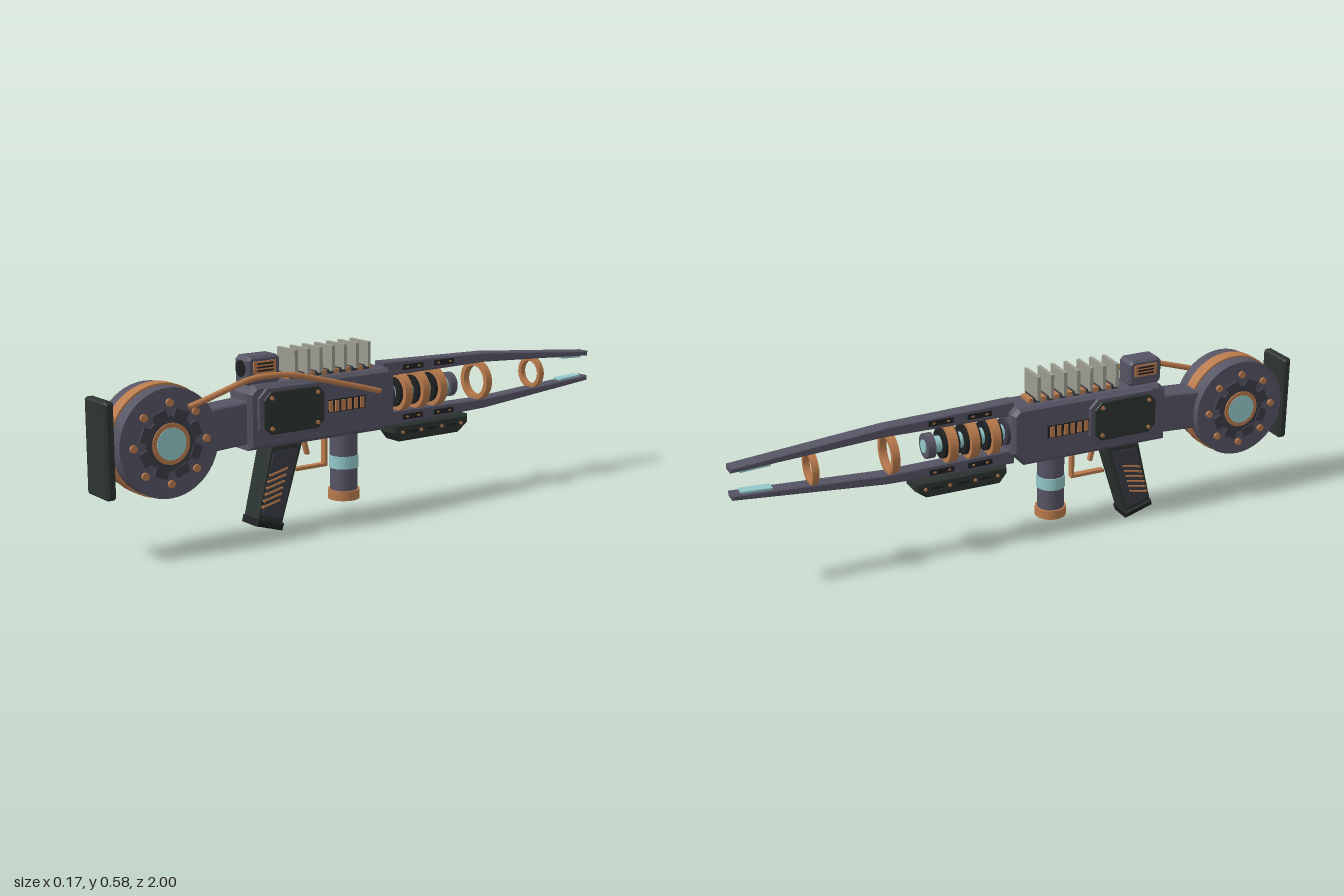
import * as THREE from 'three';

const mat = (name, color) => new THREE.MeshStandardMaterial({ name, color });
const HALF = Math.PI / 2;

export function createModel() {
  const root = new THREE.Group();
  root.name = 'coilRifle';
  const metal = mat('gunmetal', 0x565464);
  const darkMetal = mat('dark gunmetal', 0x3c3b47);
  const dark = mat('dark green', 0x2b3431);
  const black = mat('black', 0x1d2022);
  const copper = mat('copper', 0xb97a4c);
  const cyan = mat('cyan', 0x93c8ca);
  const pale = mat('pale grey', 0x9c9b90);

  const add = (name, geo, m, x = 0, y = 0, z = 0) => {
    const mesh = new THREE.Mesh(geo, m);
    mesh.name = name;
    mesh.position.set(x, y, z);
    root.add(mesh);
    return mesh;
  };
  const box = (name, m, w, h, d, x, y, z) => add(name, new THREE.BoxGeometry(w, h, d), m, x, y, z);
  // side outline of [z, y] points, extruded across x with bevelled edges
  const slab = (name, m, pts, width, bevel = 0.006, x = 0) => {
    const shape = new THREE.Shape(pts.map(p => new THREE.Vector2(...p)));
    const g = new THREE.ExtrudeGeometry(shape, {
      depth: width - 2 * bevel, bevelEnabled: bevel > 0, bevelSize: bevel,
      bevelThickness: bevel, bevelOffset: -bevel, bevelSegments: 1,
    });
    g.translate(0, 0, -(width - 2 * bevel) / 2).rotateY(-HALF);
    return add(name, g, m, x);
  };
  const rect = (z0, z1, y0, y1, c = 0) => c
    ? [[z0 + c, y0], [z1 - c, y0], [z1, y0 + c], [z1, y1 - c], [z1 - c, y1], [z0 + c, y1], [z0, y1 - c], [z0, y0 + c]]
    : [[z0, y0], [z1, y0], [z1, y1], [z0, y1]];
  // cylinders along each axis
  const cylX = (name, m, r, w, x, y, z, n = 32) =>
    add(name, new THREE.CylinderGeometry(r, r, w, n).rotateZ(HALF), m, x, y, z);
  const cylY = (name, m, r, y0, y1, z) =>
    add(name, new THREE.CylinderGeometry(r, r, y1 - y0, 32), m, 0, (y0 + y1) / 2, z);
  const cylZ = (name, m, r, z0, z1, y = 0.395) =>
    add(name, new THREE.CylinderGeometry(r, r, z1 - z0, 32).rotateX(HALF), m, 0, y, (z0 + z1) / 2);
  // flat hollow ring around the z axis
  const hoop = (name, m, r, inner, t, z, y = 0.395) => {
    const s = new THREE.Shape().absarc(0, 0, r, 0, Math.PI * 2);
    s.holes.push(new THREE.Path().absarc(0, 0, inner, 0, Math.PI * 2, true));
    const g = new THREE.ExtrudeGeometry(s, { depth: t, bevelEnabled: false, curveSegments: 24 });
    return add(name, g, m, 0, y, z - t / 2);
  };
  const tube = (name, pts, r, m, tension = 0.2) => add(name, new THREE.TubeGeometry(
    new THREE.CatmullRomCurve3(pts.map(p => new THREE.Vector3(...p)), false, 'catmullrom', tension), 48, r, 10), m);

  // butt pad and drum stock
  slab('buttPad', dark, rect(0.968, 1, 0.203, 0.5, 0.006), 0.13, 0.008);
  const DY = 0.353, DZ = 0.79;
  cylX('drum', metal, 0.17, 0.144, 0, DY, DZ, 48);
  cylX('drumBand', copper, 0.176, 0.046, 0, DY, DZ, 48);
  box('buttMount', metal, 0.06, 0.1, 0.04, 0, DY, 0.955);
  for (const s of [-1, 1]) {
    cylX('drumHub', darkMetal, 0.085, 0.008, s * 0.074, DY, DZ);
    cylX('drumHubRing', copper, 0.064, 0.014, s * 0.075, DY, DZ);
    cylX('drumCore', cyan, 0.05, 0.018, s * 0.075, DY, DZ);
    for (let i = 0; i < 8; i++) {
      const a = i * Math.PI / 4, b = a + Math.PI / 8;
      cylX('drumBolt', copper, 0.012, 0.016, s * 0.073, DY + 0.125 * Math.sin(a), DZ + 0.125 * Math.cos(a), 10);
      const block = box('drumBlock', darkMetal, 0.022, 0.046, 0.03, s * 0.072,
        DY + 0.092 * Math.sin(b), DZ + 0.092 * Math.cos(b));
      block.rotation.x = -b;
    }
  }

  // receiver
  slab('stockNeck', metal, [[0.48, 0.305], [0.66, 0.295], [0.66, 0.43], [0.48, 0.442]], 0.092);
  slab('receiver', metal, [[-0.03, 0.285], [0.5, 0.285], [0.5, 0.465], [0.475, 0.49],
    [-0.05, 0.49], [-0.072, 0.468], [-0.072, 0.33]], 0.122, 0.012);
  for (const s of [-1, 1]) {
    slab('plateFrame', metal, rect(0.205, 0.47, 0.318, 0.48, 0.03), 0.012, 0.003, s * 0.063);
    slab('sidePlate', dark, rect(0.222, 0.453, 0.33, 0.468, 0.025), 0.012, 0.003, s * 0.068);
    for (const z of [0.25, 0.425]) for (const y of [0.35, 0.448])
      cylX('plateBolt', copper, 0.007, 0.008, s * 0.075, y, z, 8);
    box('ventRecess', black, 0.006, 0.042, 0.155, s * 0.061, 0.392, 0.13);
    for (let i = 0; i < 6; i++)
      box('vent', copper, 0.012, 0.036, 0.015, s * 0.062, 0.392, 0.068 + i * 0.025);
  }

  // heat sink
  box('finRail', copper, 0.056, 0.02, 0.33, 0, 0.495, 0.165);
  for (let i = 0; i < 7; i++) {
    const z = 0.027 + i * 0.048;
    box('fin', pale, 0.1, 0.082, 0.012, 0, 0.544, z);
    box('finFoot', darkMetal, 0.07, 0.016, 0.022, 0, 0.5, z);
  }

  // sight
  slab('sight', metal, rect(0.368, 0.49, 0.485, 0.578, 0.012), 0.076, 0.008);
  cylZ('sightLens', black, 0.026, 0.47, 0.494, 0.538);
  for (const s of [-1, 1]) {
    box('sightPanel', copper, 0.008, 0.04, 0.082, s * 0.039, 0.542, 0.428);
    for (const y of [0.532, 0.543, 0.554]) box('sightSlot', black, 0.008, 0.005, 0.06, s * 0.041, y, 0.428);
  }

  // cable on the left side
  tube('cable', [[0.07, 0.455, 0.725], [0.077, 0.468, 0.68], [0.08, 0.515, 0.52], [0.08, 0.521, 0.44], [0.077, 0.512, 0.34],
    [0.07, 0.455, 0.12], [0.064, 0.42, -0.005]], 0.0095, copper, 0.4);

  // grip with ridges
  slab('grip', dark, [[0.28, 0.29], [0.37, 0.005], [0.47, 0.037], [0.41, 0.29]], 0.078, 0.008);
  slab('gripFoot', black, [[0.368, 0.003], [0.472, 0.035], [0.465, 0.058], [0.36, 0.026]], 0.088, 0.006);
  for (const s of [-1, 1]) {
    slab('gripPanel', darkMetal, [[0.306, 0.265], [0.372, 0.045], [0.445, 0.068], [0.4, 0.265]], 0.008, 0, s * 0.039);
    for (let i = 0; i < 6; i++) {
      const ridge = box('gripRidge', copper, 0.012, 0.006, 0.07, s * 0.041, 0.1 + i * 0.02, 0.413 - i * 0.006);
      ridge.rotation.x = 0.22;
    }
  }

  // trigger and guard
  box('guardFront', copper, 0.022, 0.105, 0.01, 0, 0.235, 0.174);
  box('guardBottom', copper, 0.022, 0.01, 0.125, 0, 0.187, 0.231);
  const trigger = box('trigger', copper, 0.016, 0.06, 0.012, 0, 0.26, 0.25);
  trigger.rotation.x = 0.25;

  // power cell under the receiver
  cylY('cellBody', metal, 0.046, 0.08, 0.29, 0.095);
  cylY('cellBand', cyan, 0.049, 0.168, 0.21, 0.095);
  cylY('cellCap', copper, 0.053, 0.062, 0.094, 0.095);

  // tapering rails, mirrored about the bore
  const railPts = [[-0.05, 0.455], [-0.05, 0.505], [-0.5, 0.493], [-1, 0.449], [-1, 0.432], [-0.5, 0.46]];
  for (const s of [1, -1]) {
    const flip = y => 0.395 + s * (y - 0.395);
    const pts = railPts.map(([z, y]) => [z, flip(y)]);
    slab(s > 0 ? 'upperRail' : 'lowerRail', metal, s > 0 ? pts : pts.reverse(), 0.05, 0.004);
    const pad = box('emitterPad', cyan, 0.036, 0.009, 0.1, 0, flip(0.434), -0.92);
    pad.rotation.x = -s * 0.055;
    for (const x of [-0.026, 0.026]) for (const z of [-0.175, -0.31]) {
      box('railInset', black, 0.006, 0.018, 0.085, x, flip(0.48), z);
      for (const dz of [-0.025, 0.025]) box('railInsetMark', copper, 0.009, 0.006, 0.01, x, flip(0.48), z + dz);
    }
  }

  // barrel with coils
  cylZ('barrelCore', cyan, 0.027, -0.345, -0.06);
  cylZ('barrelCollar', darkMetal, 0.045, -0.085, -0.06);
  cylZ('barrelMuzzle', metal, 0.042, -0.36, -0.333);
  cylZ('muzzleGlow', cyan, 0.022, -0.364, -0.35);
  for (const z of [-0.13, -0.205, -0.28]) {
    hoop('coil', copper, 0.066, 0.026, 0.03, z);
    for (const dz of [-0.021, 0.021]) hoop('coilSpacer', black, 0.05, 0.026, 0.012, z + dz);
  }
  hoop('frontHoopLarge', copper, 0.069, 0.052, 0.025, -0.48);
  hoop('frontHoopSmall', copper, 0.056, 0.042, 0.021, -0.74);

  // fore-end under the lower rail
  slab('foreEnd', dark, [[-0.41, 0.29], [-0.41, 0.26], [-0.37, 0.23], [-0.11, 0.23], [-0.085, 0.26], [-0.085, 0.29]], 0.084, 0.008);
  for (const s of [-1, 1]) for (const z of [-0.12, -0.2, -0.29, -0.375]) {
    cylX('foreEndBolt', copper, 0.006, 0.008, s * 0.042, 0.262, z, 8);
    if (z > -0.3) box('foreEndSlot', black, 0.004, 0.008, 0.045, s * 0.042, 0.262, z - 0.042);
  }
  return root;
}
